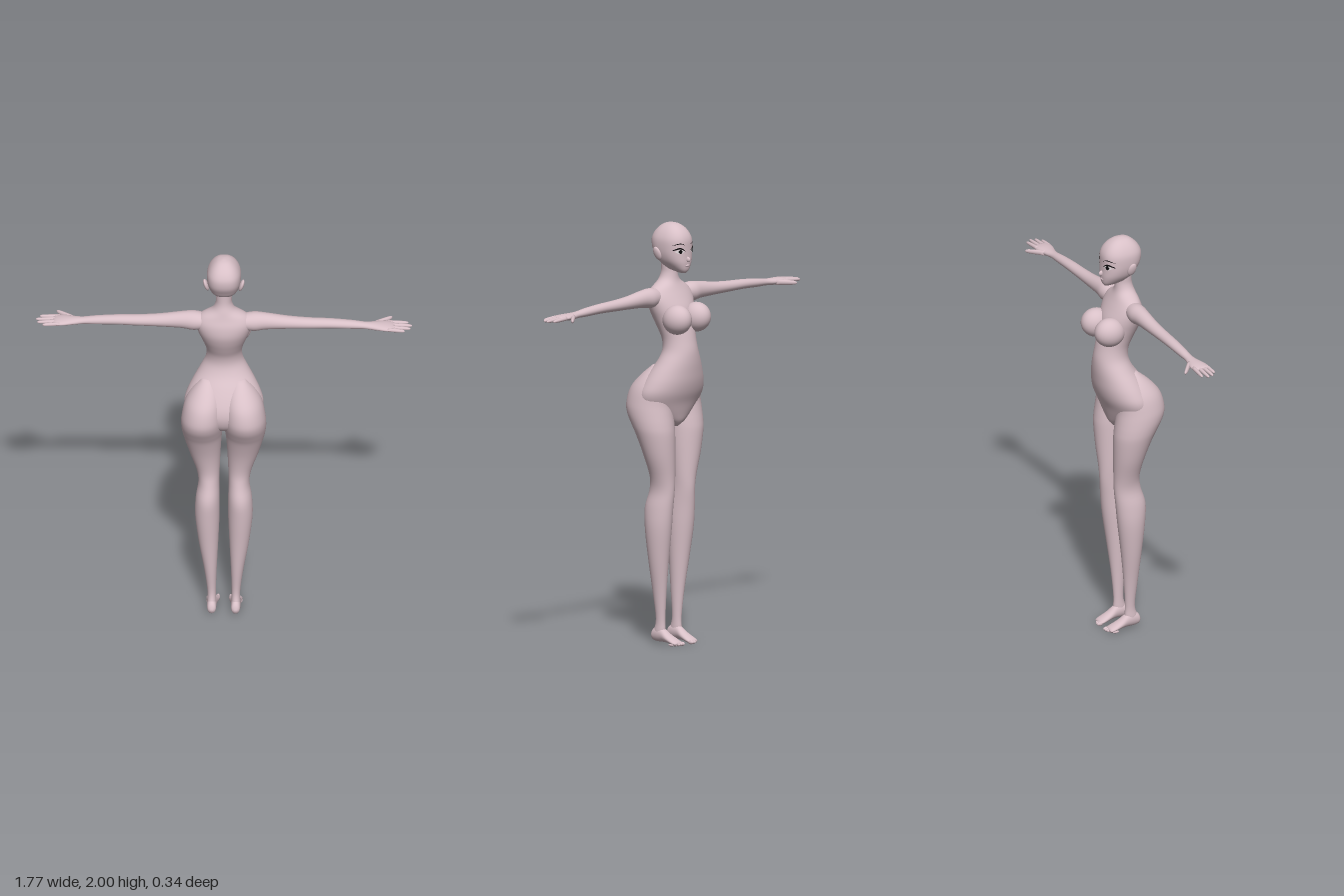
import * as THREE from 'three';

const skin = new THREE.MeshStandardMaterial({ color: 0xd8c0c7 });
skin.name = 'skin';
const ink = new THREE.MeshStandardMaterial({ color: 0x0c0a0c, side: THREE.DoubleSide });
ink.name = 'dark ink';
const white = new THREE.MeshStandardMaterial({ color: 0xe6dde0, side: THREE.DoubleSide });
white.name = 'eye white';

// Smoothly resample rows of [t, a0, a1, b0, b1]
function resample(rows, steps) {
  const s = [...rows].sort((p, q) => p[0] - q[0]);
  const at = (i) => s[Math.max(0, Math.min(s.length - 1, i))];
  const out = [];
  for (let i = 0; i < s.length - 1; i++) {
    for (let k = 0; k < steps; k++) {
      const u = k / steps;
      out.push(s[i].map((p1, c) => {
        const p0 = at(i - 1)[c], p2 = at(i + 1)[c], p3 = at(i + 2)[c];
        return p1 + 0.5 * u * (p2 - p0 + u * (2 * p0 - 5 * p1 + 4 * p2 - p3 + u * (3 * (p1 - p2) + p3 - p0)));
      }));
    }
  }
  out.push(s[s.length - 1]);
  return out;
}

// Closed skin through superelliptic cross-sections.
// axis y: a = x, b = z; axis x: a = z, b = y; axis z: a = y, b = x
function loft(rows, axis = 'y', sides = 32, power = 2, steps = 4) {
  const rings = resample(rows, steps), pos = [], idx = [];
  const put = (t, a, b) => {
    if (axis === 'y') pos.push(a, t, b);
    else if (axis === 'x') pos.push(t, b, a);
    else pos.push(b, a, t);
  };
  const bend = (v) => Math.sign(v) * Math.abs(v) ** (2 / power);
  for (const [t, a0, a1, b0, b1] of rings) {
    for (let j = 0; j < sides; j++) {
      const q = (j / sides) * Math.PI * 2;
      put(t, (a0 + a1) / 2 + ((a1 - a0) / 2) * bend(Math.cos(q)),
        (b0 + b1) / 2 + ((b1 - b0) / 2) * bend(Math.sin(q)));
    }
  }
  const n = rings.length, c0 = n * sides, c1 = c0 + 1;
  for (const [t, a0, a1, b0, b1] of [rings[0], rings[n - 1]]) put(t, (a0 + a1) / 2, (b0 + b1) / 2);
  for (let j = 0; j < sides; j++) {
    const k = (j + 1) % sides, top = (n - 1) * sides;
    for (let i = 0; i < n - 1; i++) {
      const p = i * sides, r = p + sides;
      idx.push(p + j, r + j, p + k, p + k, r + j, r + k);
    }
    idx.push(c0, j, k, c1, top + k, top + j);
  }
  const g = new THREE.BufferGeometry();
  g.setAttribute('position', new THREE.Float32BufferAttribute(pos, 3));
  g.setIndex(idx);
  g.computeVertexNormals();
  return g;
}

function ball(x, y, z, rx, ry, rz, tiltX = 0, tiltZ = 0) {
  return new THREE.SphereGeometry(1, 28, 20).scale(rx, ry, rz).rotateX(tiltX).rotateZ(tiltZ).translate(x, y, z);
}

// Copy of a geometry reflected in x, with its faces turned back outwards
function mirror(geo) {
  const g = geo.clone(), p = g.attributes.position, ix = g.index.array;
  for (let i = 0; i < p.count; i++) p.setX(i, -p.getX(i));
  for (let i = 0; i < ix.length; i += 3) [ix[i], ix[i + 1]] = [ix[i + 1], ix[i]];
  const nm = g.attributes.normal;
  for (let i = 0; i < nm.count; i++) nm.setX(i, -nm.getX(i));
  return g;
}

// Symmetric rows: [y, halfWidth, front z, back z]
const even = (rows) => rows.map(([y, w, f, b]) => [y, -w, w, f, b]);

const headRows = even([
  [2.0, 0.006, -0.012, 0.008], [1.993, 0.03, -0.04, 0.036], [1.975, 0.052, -0.069, 0.062],
  [1.95, 0.069, -0.09, 0.083], [1.92, 0.079, -0.101, 0.094], [1.88, 0.079, -0.102, 0.09],
  [1.845, 0.073, -0.103, 0.072], [1.815, 0.061, -0.104, 0.052], [1.785, 0.038, -0.1, 0.01],
  [1.77, 0.018, -0.092, -0.04], [1.765, 0.006, -0.085, -0.06],
]);

const torsoRows = even([
  [1.86, 0.04, -0.02, 0.055], [1.8, 0.038, -0.026, 0.052], [1.76, 0.039, -0.027, 0.054],
  [1.725, 0.058, -0.032, 0.064], [1.69, 0.113, -0.046, 0.074], [1.65, 0.135, -0.066, 0.086],
  [1.6, 0.125, -0.09, 0.088], [1.55, 0.108, -0.103, 0.074], [1.5, 0.092, -0.117, 0.052],
  [1.45, 0.083, -0.128, 0.03], [1.4, 0.089, -0.137, 0.025], [1.35, 0.114, -0.138, 0.042],
  [1.3, 0.144, -0.134, 0.076], [1.25, 0.17, -0.127, 0.105], [1.2, 0.186, -0.113, 0.125],
  [1.15, 0.175, -0.092, 0.128], [1.1, 0.13, -0.076, 0.11], [1.06, 0.065, -0.062, 0.065],
  [1.035, 0.01, -0.04, 0.01],
]);

const legRows = [
  [1.33, 0.05, 0.1, 0.0, 0.04], [1.28, 0.018, 0.145, -0.05, 0.1], [1.22, 0.003, 0.18, -0.07, 0.149],
  [1.15, 0.001, 0.196, -0.068, 0.167], [1.1, 0.002, 0.2, -0.073, 0.158], [1.05, 0.005, 0.197, -0.08, 0.131],
  [1.0, 0.01, 0.188, -0.084, 0.105], [0.9, 0.016, 0.162, -0.081, 0.07], [0.8, 0.02, 0.13, -0.075, 0.052],
  [0.73, 0.022, 0.12, -0.072, 0.062], [0.65, 0.02, 0.132, -0.065, 0.084], [0.55, 0.02, 0.135, -0.055, 0.08],
  [0.4, 0.026, 0.118, -0.035, 0.066], [0.25, 0.033, 0.093, -0.018, 0.053], [0.12, 0.037, 0.077, -0.008, 0.041],
  [0.06, 0.036, 0.078, -0.01, 0.055], [0.03, 0.04, 0.074, 0.0, 0.05],
];

const footRows = [
  [0.07, 0.035, 0.045, 0.05, 0.062], [0.06, 0.018, 0.068, 0.037, 0.075], [0.035, 0.012, 0.085, 0.034, 0.079],
  [0.0, 0.012, 0.078, 0.032, 0.08], [-0.035, 0.01, 0.052, 0.026, 0.083], [-0.07, 0.003, 0.033, 0.021, 0.085],
  [-0.09, 0.002, 0.022, 0.022, 0.082], [-0.096, 0.008, 0.015, 0.03, 0.072],
];

const armRows = [
  [0.08, -0.025, 0.055, 1.62, 1.69], [0.14, -0.036, 0.056, 1.606, 1.7], [0.2, -0.03, 0.048, 1.614, 1.695],
  [0.3, -0.025, 0.04, 1.618, 1.68], [0.4, -0.022, 0.036, 1.62, 1.672], [0.5, -0.022, 0.032, 1.622, 1.668],
  [0.6, -0.02, 0.027, 1.62, 1.66], [0.66, -0.018, 0.024, 1.62, 1.652], [0.7, -0.026, 0.03, 1.617, 1.65],
  [0.75, -0.038, 0.043, 1.619, 1.649], [0.785, -0.036, 0.045, 1.622, 1.645], [0.8, -0.025, 0.038, 1.628, 1.64],
];

// A tapered digit from (x0, z0) to (x1, z1) along the hand
function digit(x0, z0, y0, x1, z1, y1, r) {
  const rows = [[0, 1], [0.5, 0.92], [0.85, 0.75], [0.97, 0.45], [1, 0.1]].map(([u, s]) => {
    const z = z0 + (z1 - z0) * u, y = y0 + (y1 - y0) * u, w = r * s;
    return [x0 + (x1 - x0) * u, z - w, z + w, y - w, y + w];
  });
  return loft(rows, 'x', 12, 2, 3);
}

// Flat face detail wrapped on to the front of the head
const headRings = resample(headRows, 8);
function faceZ(x, y) {
  const i = headRings.findIndex((r) => r[0] >= y), p = headRings[i - 1], q = headRings[i];
  const u = (y - p[0]) / (q[0] - p[0]);
  const [, , a, f, b] = p.map((v, c) => v + (q[c] - v) * u);
  return (f + b) / 2 - ((b - f) / 2) * Math.max(0, 1 - Math.abs(x / a) ** 2.4) ** (1 / 2.4);
}
// Band between two curves, lower(u) and upper(u), from x0 to x1
function faceBand(x0, x1, lower, upper, lift) {
  const g = new THREE.PlaneGeometry(1, 1, 14, 4), p = g.attributes.position;
  for (let i = 0; i < p.count; i++) {
    const u = p.getX(i) + 0.5, v = p.getY(i) + 0.5;
    const x = x0 + (x1 - x0) * u, y = lower(u) + (upper(u) - lower(u)) * v;
    p.setXYZ(i, x, y, faceZ(x, y) - lift);
  }
  g.computeVertexNormals();
  return g;
}

export function createModel() {
  const model = new THREE.Group();
  model.name = 'figure';
  const add = (name, geo, mat = skin) => {
    const m = new THREE.Mesh(geo, mat);
    m.name = name;
    model.add(m);
  };
  const pair = (name, geo, mat) => {
    add(name + 'Left', geo, mat);
    add(name + 'Right', mirror(geo), mat);
  };

  // Head and trunk
  add('head', loft(headRows, 'y', 40, 2.4));
  add('torso', loft(torsoRows, 'y', 48));
  add('nose', ball(0, 1.832, -0.104, 0.008, 0.013, 0.014, -0.3));
  add('lips', ball(0, 1.803, -0.1, 0.014, 0.006, 0.007));
  pair('ear', ball(0.083, 1.858, 0.014, 0.011, 0.034, 0.021, 0.2, -0.3));
  pair('chest', ball(0.067, 1.552, -0.097, 0.062, 0.07, 0.075, 0.25));

  // Eyes and brows
  const arch = (base, rise) => (u) => base + rise * Math.sin(Math.PI * u);
  pair('eyeWhite', faceBand(0.02, 0.062, arch(1.872, -0.011), arch(1.872, 0.01), 0.001), white);
  pair('iris', faceBand(0.031, 0.05, arch(1.872, -0.011), arch(1.872, 0.01), 0.002), ink);
  pair('upperLash', faceBand(0.017, 0.068, (u) => arch(1.871, 0.01)(u) + 0.004 * u,
    (u) => arch(1.872, 0.015)(u) + 0.007 * u, 0.003), ink);
  pair('brow', faceBand(0.016, 0.07, arch(1.899, 0.008), arch(1.9, 0.011), 0.002), ink);

  // Arms and hands
  pair('arm', loft(armRows, 'x', 28));
  pair('thumb', digit(0.71, -0.02, 1.632, 0.788, -0.082, 1.626, 0.013));
  [[-0.028, -0.034, 0.865], [-0.007, -0.009, 0.883], [0.015, 0.016, 0.876], [0.034, 0.038, 0.85]]
    .forEach(([z0, z1, tip], i) => pair('finger' + (i + 1), digit(0.77, z0, 1.634, tip, z1, 1.629, 0.0098)));

  // Legs and feet
  pair('leg', loft(legRows, 'y', 36));
  pair('foot', loft(footRows, 'z', 24));
  for (let i = 0; i < 5; i++) {
    const r = 0.0095 - i * 0.0008;
    pair('toe' + (i + 1), ball(0.03 + i * 0.0125, r, -0.095 + i * i * 0.0016, r * 0.85, r, 0.016));
  }
  return model;
}
